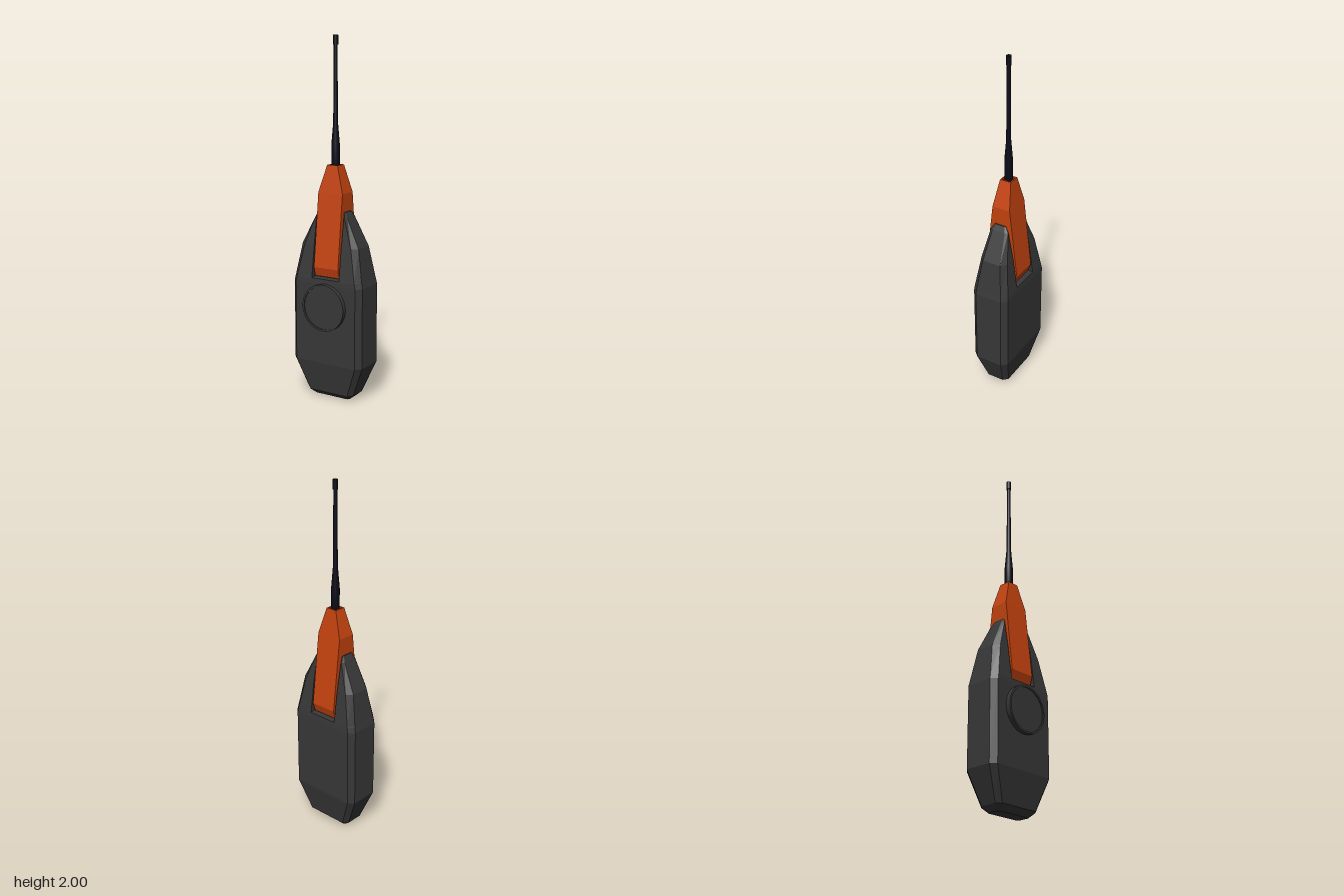
import * as THREE from 'three';

const mat = (color) => new THREE.MeshStandardMaterial({ color, flatShading: true });

// Joins rings of [x, y, z] (running from +x towards +z, listed upwards) and closes both ends
function loft(rings) {
  const pos = [];
  const tri = (...points) => points.forEach((p) => pos.push(...p));
  const centre = (ring) => [0, 1, 2].map((k) => ring.reduce((s, p) => s + p[k], 0) / ring.length);
  const n = rings[0].length;
  const last = rings[rings.length - 1];
  const low = centre(rings[0]);
  const high = centre(last);
  for (let i = 0; i < n; i++) {
    const j = (i + 1) % n;
    for (let r = 0; r < rings.length - 1; r++) {
      const a = rings[r], b = rings[r + 1];
      tri(a[i], b[i], a[j]);
      tri(a[j], b[i], b[j]);
    }
    tri(low, rings[0][i], rings[0][j]);
    tri(high, last[j], last[i]);
  }
  const g = new THREE.BufferGeometry();
  g.setAttribute('position', new THREE.Float32BufferAttribute(pos, 3));
  g.computeVertexNormals();
  return g;
}

// Chamfered body section with a channel of depth d in the front and back
function bodyRing([y, x, flat, front, back, sideFront, sideBack, d]) {
  const n = Math.min(0.087, flat - 0.002);
  const half = [[x, sideBack], [x, sideFront], [flat, front], [n, front], [n, front - d]];
  const rear = [[n, back + d], [n, back], [flat, back]];
  const mirror = (list) => list.map(([px, pz]) => [-px, pz]).reverse();
  return [...half, ...mirror(half), ...mirror(rear), ...rear].map(([px, pz]) => [px, y, pz]);
}

const boxRing = ([y, x, front, back]) => [[x, y, back], [x, y, front], [-x, y, front], [-x, y, back]];

export function createModel() {
  const model = new THREE.Group();
  const add = (name, geometry, material) => {
    const mesh = new THREE.Mesh(geometry, material);
    mesh.name = name;
    model.add(mesh);
    return mesh;
  };
  const dark = mat(0x383838);
  const orange = mat(0xc5430f);
  const black = mat(0x0b0b18);
  black.flatShading = false;

  // Body: y, half width, flat half width, front, back, chamfer front, chamfer back, channel
  add('body', loft([
    [0, 0.11, 0.1, 0.025, -0.055, 0.015, -0.045, 0],
    [0.03, 0.145, 0.12, 0.06, -0.087, 0.035, -0.062, 0],
    [0.21, 0.219, 0.19, 0.095, -0.124, 0.065, -0.094, 0],
    [0.66, 0.219, 0.19, 0.095, -0.124, 0.065, -0.094, 0],
    [0.69, 0.213, 0.184, 0.093, -0.121, 0.062, -0.091, 0],
    [0.695, 0.212, 0.183, 0.092, -0.12, 0.062, -0.09, 0.033],
    [0.87, 0.18, 0.148, 0.068, -0.096, 0.04, -0.068, 0.03],
    [1.03, 0.1, 0.091, 0.042, -0.066, 0.026, -0.05, 0.02],
    [1.06, 0.083, 0.08, 0.025, -0.045, 0.015, -0.037, 0.012],
  ].map(bodyRing)), dark);

  // Straddling clip, with a shallow square socket on top: y, half width, front, back
  add('antennaMount', loft([
    [0.7, 0.077, 0.072, -0.098],
    [0.75, 0.077, 0.086, -0.114],
    [1.16, 0.077, 0.04, -0.066],
    [1.31, 0.033, 0.019, -0.047],
    [1.31, 0.026, 0.012, -0.04],
    [1.295, 0.026, 0.012, -0.04],
  ].map(boxRing)), orange);

  // Antenna: thick sleeve, taper, thin rod and capped tip
  const rod = [[0, 1.29], [0.023, 1.29], [0.023, 1.42], [0.013, 1.54], [0.01, 1.95]];
  const antenna = add('antenna', new THREE.LatheGeometry(
    rod.map(([x, y]) => new THREE.Vector2(x, y)), 24), black);
  antenna.position.z = -0.014;
  const tip = add('antennaTip', new THREE.CylinderGeometry(0.014, 0.014, 0.05, 24), black);
  tip.position.set(0, 1.975, -0.014);

  // Round front button with a thin raised rim
  const disc = [[0.131, 0], [0.131, 0.03], [0.12, 0.03], [0.12, 0.025], [0, 0.025]];
  const button = add('frontButton', new THREE.LatheGeometry(
    disc.map(([x, y]) => new THREE.Vector2(x, y)), 48), dark);
  button.rotation.x = Math.PI / 2;
  button.position.set(0, 0.535, 0.091);

  return model;
}
